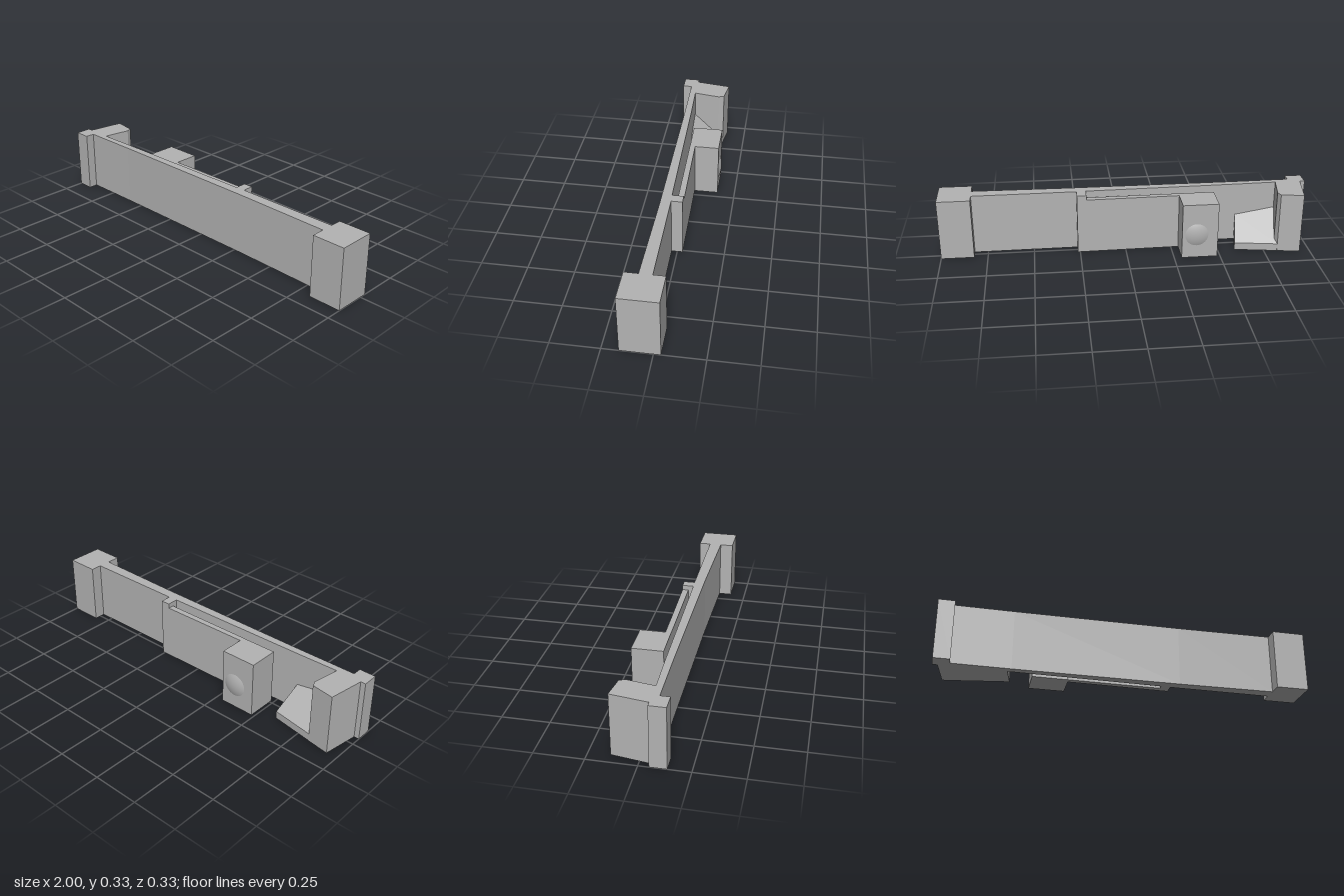
import * as THREE from 'three';

const HEIGHT = 0.333;
const LOW = 0.307;

// Extrudes a plan outline of [x, z] points upward from y = 0
function extrudePlan(points, height) {
  const shape = new THREE.Shape(points.map(([x, z]) => new THREE.Vector2(x, -z)));
  const geometry = new THREE.ExtrudeGeometry(shape, { depth: height, bevelEnabled: false });
  return geometry.rotateX(-Math.PI / 2);
}

export function createModel() {
  const group = new THREE.Group();
  const grey = new THREE.MeshStandardMaterial({ color: 0xb3b3b3 });
  grey.name = 'plain grey';

  const add = (name, geometry) => {
    const mesh = new THREE.Mesh(geometry, grey);
    mesh.name = name;
    group.add(mesh);
    return mesh;
  };

  // Long beam with its end block, spring stub and slanted hook head
  add('beam', extrudePlan([
    [-1, 0.137], [-0.912, 0.137], [-0.912, 0.088], [-0.6, 0.085], [0.3, 0.085], [0.823, 0.093],
    [0.823, 0.165], [1, 0.165], [1, -0.036], [0.823, -0.036], [0.823, 0.026],
    [0.262, 0.03], [0.262, -0.029], [0.211, -0.028], [0.211, 0.033],
    [-0.62, 0.047], [-0.835, 0.053], [-0.81, -0.093], [-0.822, -0.124],
    [-0.943, -0.142], [-0.973, 0.052], [-1, 0.052],
  ], HEIGHT));

  // Thin spring arm running from the stub to the button block
  add('springArm', extrudePlan([
    [0.212, 0.005], [0.212, -0.028], [-0.295, -0.019], [-0.295, 0.011],
  ], LOW));

  // Button block at the free end of the arm
  add('buttonBlock', extrudePlan([
    [-0.484, 0.013], [-0.29, 0.01], [-0.29, -0.152], [-0.484, -0.151],
  ], LOW));

  // Shallow domed bump on the back of the block
  const chord = 0.064, rise = 0.013;
  const radius = (chord * chord + rise * rise) / (2 * rise);
  const cap = new THREE.SphereGeometry(radius, 40, 10, 0, Math.PI * 2, 0, Math.asin(chord / radius));
  cap.translate(0, -radius + rise, 0).rotateX(-Math.PI / 2);
  add('bump', cap).position.set(-0.368, 0.133, -0.151);

  // Wedge beside the hook head, its top rising towards the beam
  const wedge = extrudePlan([
    [-0.837, 0.053], [-0.617, 0.047], [-0.592, -0.086], [-0.822, -0.123], [-0.812, -0.093],
  ], 1);
  const position = wedge.attributes.position;
  for (let i = 0; i < position.count; i++) {
    if (position.getY(i) < 0.5) continue;
    const inset = position.getZ(i) + 0.123 - 0.161 * (position.getX(i) + 0.822);
    position.setY(i, 0.041 + 0.8 * inset);
  }
  wedge.computeVertexNormals();
  add('wedge', wedge);

  return group;
}
